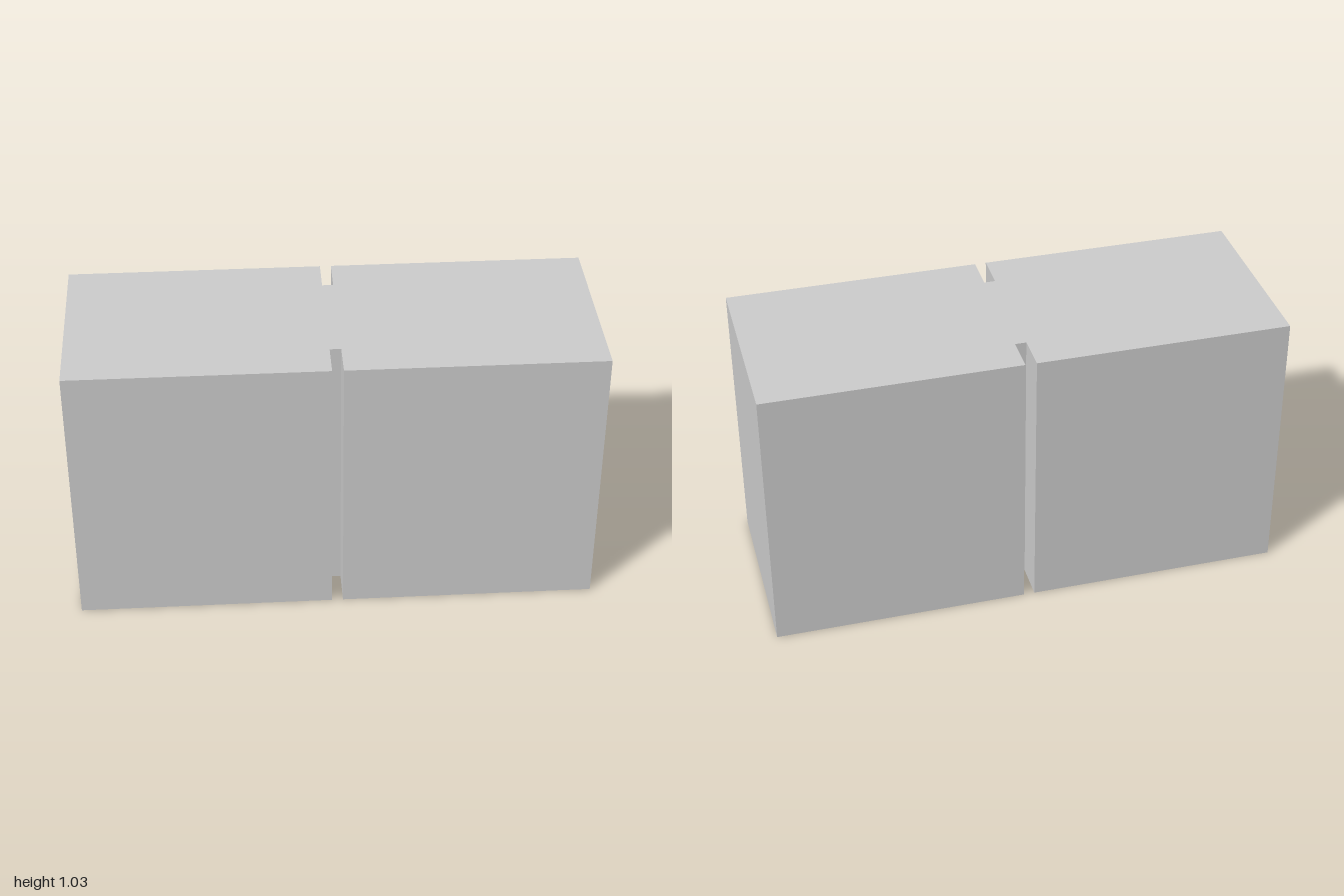
import * as THREE from 'three';

const LENGTH = 1.917, DEPTH = 0.71, HEIGHT = 1.035;
const SLOT_WIDTH = 0.041, SLOT_DEPTH = 0.138;
const TURN = THREE.MathUtils.degToRad(32.5);

export function createModel() {
  const group = new THREE.Group();
  group.name = 'slottedBlock';

  // Half of the plan outline; the other half is the same turned by 180 degrees
  const l = LENGTH / 2, d = DEPTH / 2, w = SLOT_WIDTH / 2;
  const half = [
    [-l, -d], [-w, -d], [-w, -d + SLOT_DEPTH],
    [w, -d + SLOT_DEPTH], [w, -d], [l, -d],
  ];
  const outline = [1, -1].flatMap((s) => half.map(([x, y]) => new THREE.Vector2(s * x, s * y)));

  // Plan raised to the full height, then turned about the vertical axis
  const geometry = new THREE.ExtrudeGeometry(new THREE.Shape(outline), {
    depth: HEIGHT,
    bevelEnabled: false,
  });
  geometry.rotateX(-Math.PI / 2);
  geometry.rotateY(TURN);

  const block = new THREE.Mesh(geometry, new THREE.MeshStandardMaterial({ color: 0xcccccc }));
  block.name = 'block';
  group.add(block);
  return group;
}
